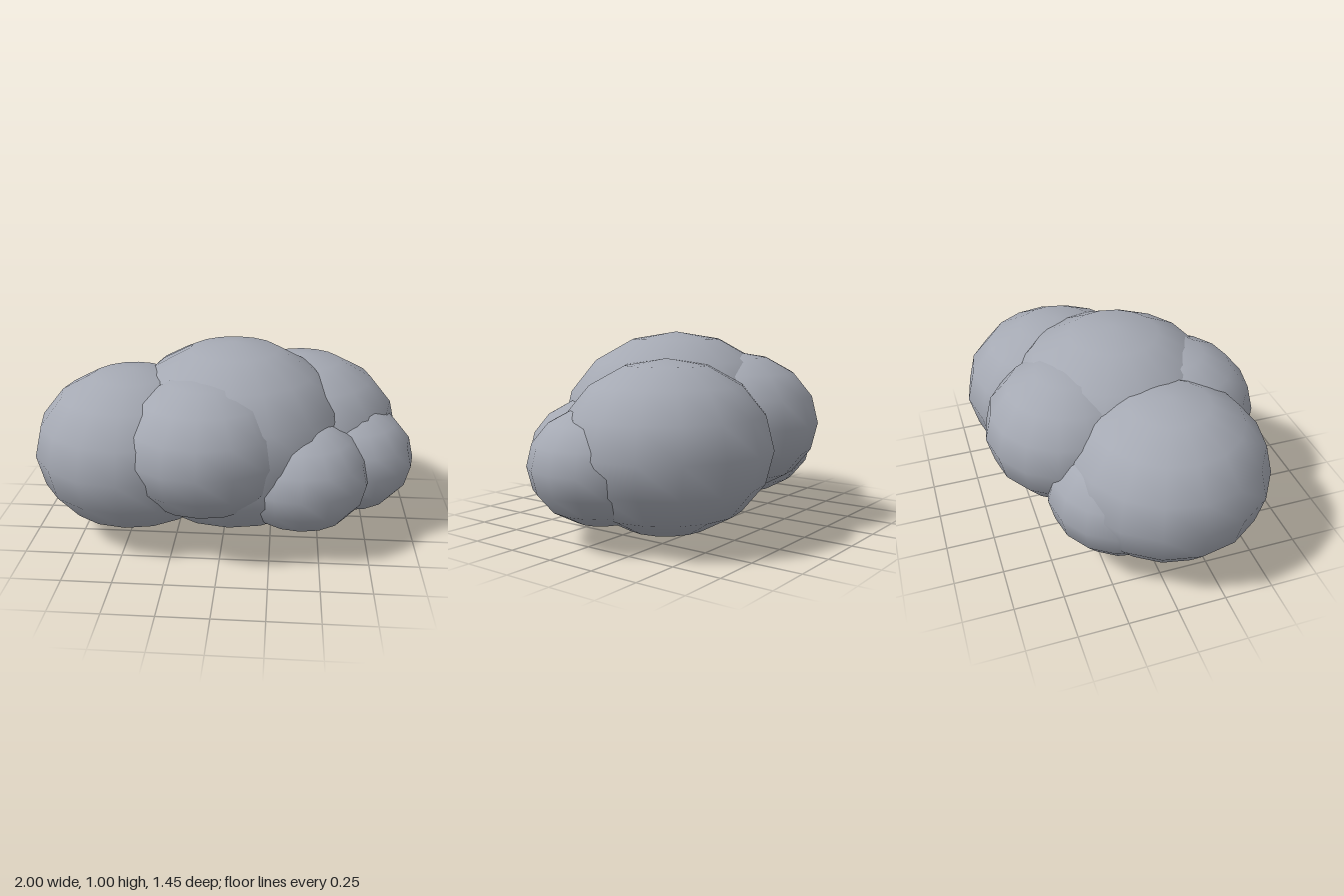
import * as THREE from 'three';

// One flattened puff: width radius r, height radius ry
function puff(name, x, y, z, r, ry, material) {
  const mesh = new THREE.Mesh(new THREE.SphereGeometry(1, 16, 8), material);
  mesh.name = name;
  mesh.scale.set(r, ry, r);
  mesh.position.set(x, y, z);
  return mesh;
}

export function createModel() {
  const group = new THREE.Group();
  group.name = 'cloud';

  const cloudGrey = new THREE.MeshStandardMaterial({ color: 0xa5a9b3 });
  cloudGrey.name = 'cloudGrey';

  // name, x, y, z, horizontal radius, vertical radius
  const puffs = [
    ['centrePuff', 0.04, 0.5, 0.01, 0.6, 0.5],
    ['rightPuff', -0.48, 0.455, 0.12, 0.52, 0.427],
    ['leftPuff', 0.4, 0.455, -0.2, 0.525, 0.427],
    ['frontPuff', -0.09, 0.535, 0.275, 0.447, 0.362],
    ['backPuff', -0.09, 0.535, -0.27, 0.442, 0.362],
    ['smallFrontPuff', 0.4, 0.38, 0.25, 0.35, 0.29],
    ['smallLeftPuff', 0.64, 0.38, 0, 0.36, 0.29],
    ['smallBackPuff', -0.47, 0.38, -0.11, 0.38, 0.31],
  ];
  for (const p of puffs) group.add(puff(...p, cloudGrey));

  return group;
}
